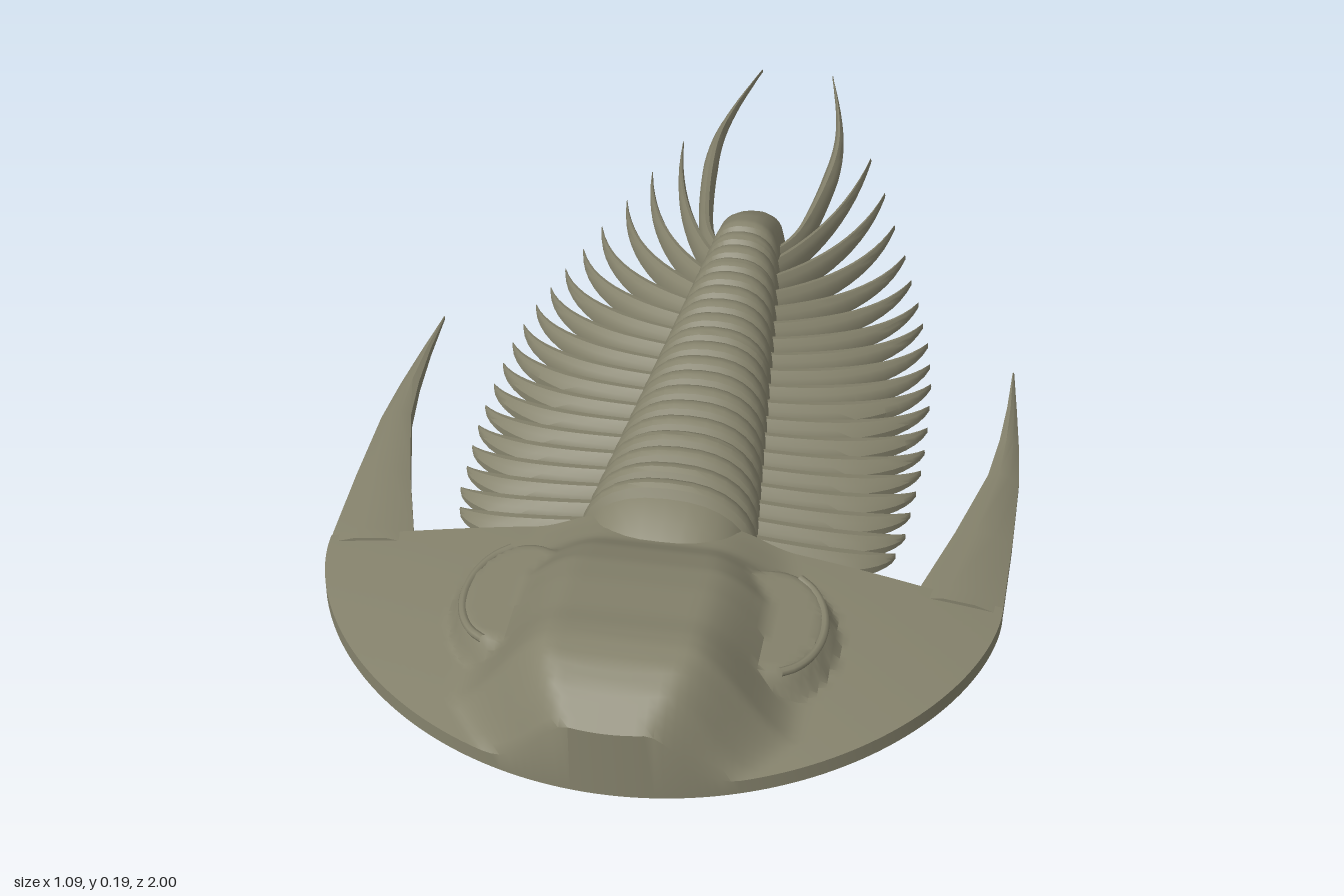
import * as THREE from 'three';
import { toCreasedNormals } from 'three/addons/utils/BufferGeometryUtils.js';

const material = new THREE.MeshStandardMaterial({ color: 0x85826c });
const { lerp, smoothstep } = THREE.MathUtils;

// Piecewise-linear lookup in a list of [t, value] sorted by rising t
function interp(points, t) {
  if (t <= points[0][0]) return points[0][1];
  for (let i = 1; i < points.length; i++) {
    const [a, va] = points[i - 1], [b, vb] = points[i];
    if (t <= b) return lerp(va, vb, (t - a) / (b - a));
  }
  return points[points.length - 1][1];
}

// Closed solid through rings of [x, y, z] points; faces are turned outward
function loft(name, rings, crease = 0.6) {
  const n = rings[0].length, last = (rings.length - 1) * n;
  const pos = rings.flat();
  const tris = [];
  for (let i = 0; i < rings.length - 1; i++) {
    for (let j = 0; j < n; j++) {
      const a = i * n + j, b = i * n + (j + 1) % n;
      tris.push([a, b, b + n], [a, b + n, a + n]);
    }
  }
  for (let j = 1; j < n - 1; j++) {
    tris.push([0, j + 1, j], [last, last + j, last + j + 1]);
  }
  let volume = 0;
  for (const [a, b, c] of tris) {
    const [p, q, r] = [pos[a], pos[b], pos[c]];
    volume += p[0] * (q[1] * r[2] - q[2] * r[1]) + p[1] * (q[2] * r[0] - q[0] * r[2])
      + p[2] * (q[0] * r[1] - q[1] * r[0]);
  }
  if (volume < 0) tris.forEach((t) => t.reverse());
  const geo = new THREE.BufferGeometry();
  geo.setAttribute('position', new THREE.Float32BufferAttribute(pos.flat(), 3));
  geo.setIndex(tris.flat());
  const mesh = new THREE.Mesh(toCreasedNormals(geo, crease), material);
  mesh.name = name;
  return mesh;
}

// Height of the head: sloping cheeks, swollen middle lobe, raised eye lobes
const lobeTop = [[0.48, 0.1], [0.55, 0.11], [0.6, 0.14], [0.66, 0.163], [0.72, 0.175], [0.8, 0.185],
  [0.84, 0.193], [0.87, 0.195], [0.91, 0.188], [0.95, 0.168], [1, 0.125]];
const lobeScale = [[0.5, 0.78], [0.57, 0.85], [0.66, 1], [0.88, 1], [0.95, 0.8], [1, 0.55]];

function headHeight(x, z) {
  const ax = Math.abs(x);
  const r2 = (ax / 0.545) ** 2 + ((z - 0.53) / 0.47) ** 2;
  const cheek = 0.025 + 0.045 * Math.max(0, 1 - r2);
  const side = 1 - smoothstep(ax / interp(lobeScale, z), 0.1, 0.27);
  const h = cheek + (interp(lobeTop, z) - cheek) * side;
  const e = ((ax - 0.2) / 0.095) ** 2 + ((z - 0.69) / 0.13) ** 2;
  const eye = 0.105 - 0.12 * (ax - 0.2);
  return Math.max(h, lerp(cheek, eye, 1 - smoothstep(e, 0.65, 1.25)));
}

function headShield() {
  const cols = 120, rows = 48, rings = [];
  for (let i = 0; i <= cols; i++) {
    const a = (i / cols - 0.5) * Math.PI;
    const x = 0.545 * Math.sin(a);
    const front = 0.53 + 0.47 * Math.max(0, Math.cos(a)) ** 1.15;
    const back = interp([[0.14, 0.48], [0.41, 0.51], [0.545, 0.52]], Math.abs(x));
    const ring = [[x, 0, back]];
    for (let j = 0; j <= rows; j++) {
      const z = lerp(back, front, j / rows);
      ring.push([x, headHeight(x, z), z]);
    }
    ring.push([x, 0, front]);
    rings.push(ring);
  }
  return loft('headShield', rings, 0.7);
}

// Long swept spine at each rear corner of the head
function cheekSpine(s) {
  // z, inner x, outer x, height
  const sections = [[0.535, 0.4, 0.544, 0.045], [0.51, 0.41, 0.545, 0.045], [0.36, 0.452, 0.545, 0.04],
    [0.2, 0.49, 0.542, 0.033], [0.1, 0.5, 0.533, 0.026], [0, 0.504, 0.521, 0.018], [-0.11, 0.504, 0.507, 0.006]];
  return loft('cheekSpine', sections.map(([z, a, b, h]) => [
    [s * a, 0, z], [s * a, h * 0.85, z], [s * lerp(a, b, 0.35), h, z],
    [s * lerp(a, b, 0.7), h * 0.85, z], [s * b, h * 0.5, z], [s * b, 0, z],
  ]));
}

// Crescent rim around each eye lobe
function eyeRim(s) {
  const pts = [];
  for (let i = 0; i <= 8; i++) {
    const a = lerp(-1.2, 1.2, i / 8);
    const x = 0.2 + 0.082 * Math.cos(a);
    pts.push(new THREE.Vector3(s * x, 0.1 - 0.12 * (x - 0.2), 0.69 + 0.115 * Math.sin(a)));
  }
  const mesh = new THREE.Mesh(new THREE.TubeGeometry(new THREE.CatmullRomCurve3(pts), 24, 0.007, 8), material);
  mesh.name = 'eyeRim';
  return mesh;
}

// Ribbed central ridge of the body, from the neck ring to the rounded tail
const SEGMENTS = 19, STEP = 0.0442, START = 0.48;
const axisWidth = (z) => lerp(0.063, 0.15, (z + 0.36) / 0.84);
const axisHeight = (z) => lerp(0.11, 0.162, (z + 0.36) / 0.84);

function bodyRidge() {
  const arch = (z, w, h) => {
    const ring = [];
    for (let j = 0; j <= 16; j++) {
      const a = (j / 16) * Math.PI, c = Math.cos(a);
      ring.push([w * Math.sign(c) * Math.abs(c) ** 0.85, h * Math.sin(a) ** 0.75, z]);
    }
    return ring;
  };
  const rings = [arch(0.56, 0.12, 0.1), arch(0.52, 0.135, 0.13)];
  for (let i = 0; i < SEGMENTS; i++) {
    for (let k = 0; k < 5; k++) {
      const z = START - STEP * (i + k / 5);
      const rib = [0.88, 0.97, 1, 1, 0.97][k];
      rings.push(arch(z, axisWidth(z) * lerp(1, rib, 0.5), axisHeight(z) * rib));
    }
  }
  for (const t of [[-0.365, 0.062, 0.105], [-0.41, 0.062, 0.08], [-0.45, 0.052, 0.055],
    [-0.475, 0.036, 0.038], [-0.49, 0.014, 0.02]]) rings.push(arch(...t));
  return loft('bodyRidge', rings, 0.5);
}

// Flat-bottomed blade following a plan curve, with a raised spine line
function blade(name, s, curve, halfWidth, height, steps = 12) {
  const rings = [];
  for (let i = 0; i <= steps; i++) {
    const t = i / steps;
    const p = curve.getPoint(t), d = curve.getTangent(t);
    const w = Math.max(0.001, halfWidth(t)), h = height(t);
    const at = (k, y) => [s * (p.x - d.y * w * k), y, p.y + d.x * w * k];
    rings.push([at(-1, 0), at(-1, h * 0.55), at(-0.45, h * 0.95), at(0.1, h), at(0.6, h * 0.8), at(1, h * 0.5), at(1, 0)]);
  }
  return loft(name, rings);
}

// Tips of the side ribs, front to back, as [x, z]
const ribTips = [[0.36, 0.4], [0.37, 0.35], [0.372, 0.295], [0.375, 0.24], [0.377, 0.185], [0.377, 0.13],
  [0.375, 0.07], [0.372, 0.01], [0.368, -0.05], [0.36, -0.105], [0.35, -0.165], [0.335, -0.22],
  [0.32, -0.28], [0.3, -0.345], [0.28, -0.42], [0.25, -0.51], [0.22, -0.61], [0.18, -0.72]];

function sideRib(s, i) {
  const [tx, tz] = ribTips[i];
  const bz = START - STEP * (i + 0.5), bx = axisWidth(bz) - 0.03;
  const q = i / (ribTips.length - 1);
  const curve = new THREE.QuadraticBezierCurve(
    new THREE.Vector2(bx, bz),
    new THREE.Vector2(lerp(bx, tx, 0.82), lerp(bz, tz, lerp(0.08, 0.38, q))),
    new THREE.Vector2(tx, tz));
  const wide = lerp(0.0225, 0.014, q * q), taperFrom = lerp(0.6, 0.15, q);
  return blade('sideRib', s, curve,
    (t) => wide * (t < taperFrom ? 1 : ((1 - t) / (1 - taperFrom)) ** 0.75),
    (t) => lerp(lerp(0.065, 0.05, q), 0.01, t));
}

// Pair of long tail spines
function tailSpine(s) {
  const curve = new THREE.SplineCurve([[0.05, -0.34], [0.085, -0.42], [0.108, -0.57], [0.116, -0.72],
    [0.102, -0.85], [0.07, -1]].map(([x, z]) => new THREE.Vector2(x, z)));
  return blade('tailSpine', s, curve,
    (t) => (t < 0.5 ? 0.013 : 0.013 * (1 - t) / 0.5),
    (t) => lerp(0.05, 0.006, t), 24);
}

export function createModel() {
  const model = new THREE.Group();
  model.name = 'trilobite';
  model.add(headShield(), bodyRidge());
  for (const s of [1, -1]) {
    model.add(cheekSpine(s), eyeRim(s), tailSpine(s));
    const ribs = new THREE.Group();
    ribs.name = s > 0 ? 'leftRibs' : 'rightRibs';
    ribTips.forEach((_, i) => ribs.add(sideRib(s, i)));
    model.add(ribs);
  }
  return model;
}
